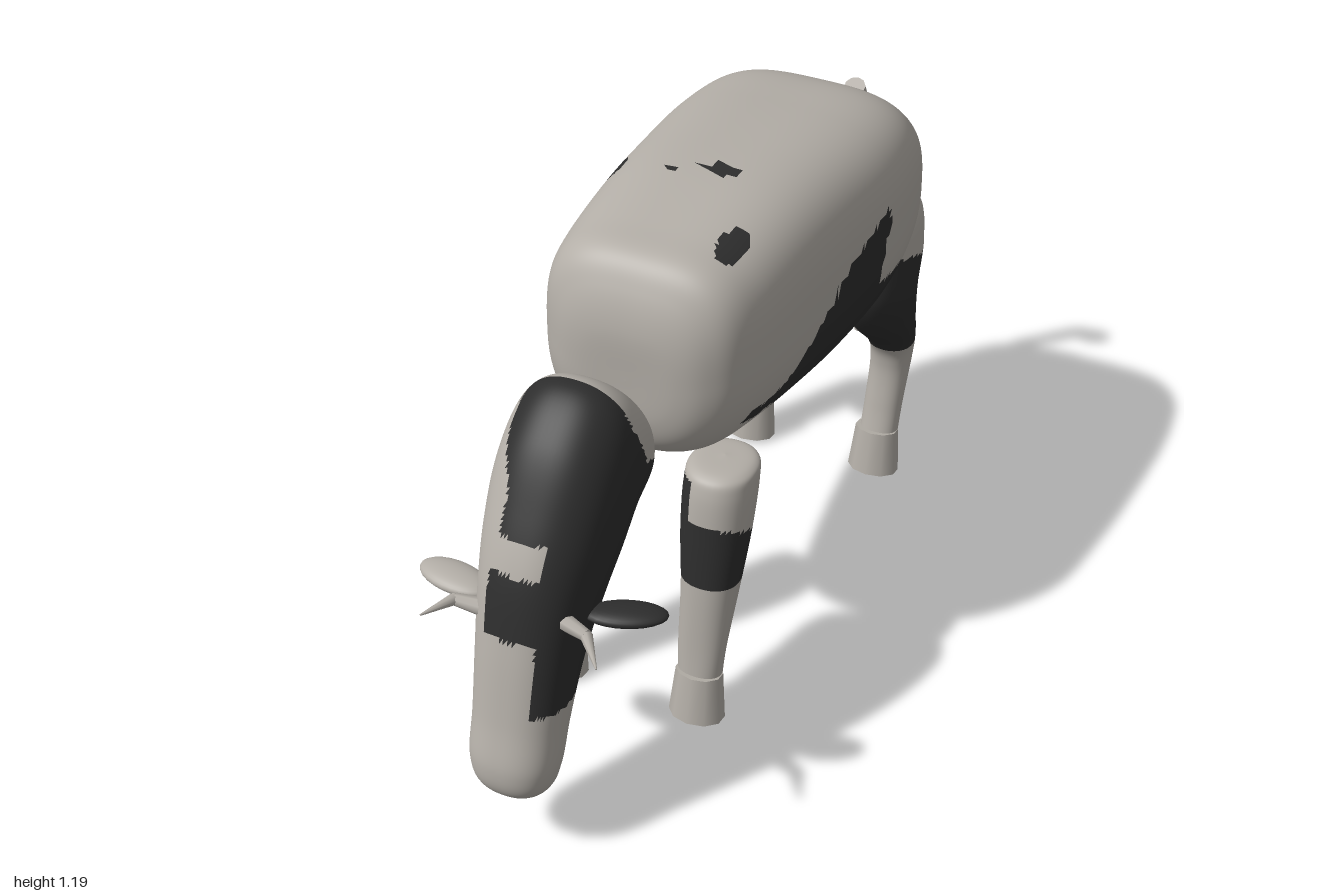
import * as THREE from 'three';

const light = new THREE.MeshStandardMaterial({ color: 0xb3aea7 });
light.name = 'pale hide';
const dark = new THREE.MeshStandardMaterial({ color: 0x2d2d2d });
dark.name = 'dark patches';

const spow = (v, n) => Math.sign(v) * Math.pow(Math.abs(v), 2 / n);

// point-in-polygon test for patch outlines
function inside(poly, u, v) {
  let hit = false;
  for (let i = 0, j = poly.length - 1; i < poly.length; j = i++) {
    const [a, b] = poly[i], [c, d] = poly[j];
    if ((b > v) !== (d > v) && u < ((c - a) * (v - b)) / (d - b) + a) hit = !hit;
  }
  return hit;
}

// Smooth skin through sections [zA, yA, zB, yB, centreX, halfWidth];
// isDark(x, y, z) sorts the faces into the two hide colours.
function loft(name, sections, nU, nV, nA, nB, isDark) {
  const ca = new THREE.CatmullRomCurve3(sections.map((s) => new THREE.Vector3(s[5], s[1], s[0])), false, 'catmullrom', 0.5);
  const cb = new THREE.CatmullRomCurve3(sections.map((s) => new THREE.Vector3(s[4], s[3], s[2])), false, 'catmullrom', 0.5);
  const pos = [];
  for (let i = 0; i <= nU; i++) {
    const a = ca.getPoint(i / nU), b = cb.getPoint(i / nU), w = Math.max(a.x, 0);
    for (let j = 0; j < nV; j++) {
      const t = (j / nV) * Math.PI * 2, c = Math.cos(t), n = c > 0 ? nB : nA, k = spow(c, n) / 2;
      pos.push(b.x + w * spow(Math.sin(t), n), (a.y + b.y) / 2 + (b.y - a.y) * k, (a.z + b.z) / 2 + (b.z - a.z) * k);
    }
  }
  const P = (i) => new THREE.Vector3().fromArray(pos, i * 3);
  const faces = [[], []];
  let volume = 0;
  const add = (a, b, c) => {
    const A = P(a), B = P(b), C = P(c);
    volume += A.dot(B.clone().cross(C));
    const m = A.add(B).add(C).divideScalar(3);
    faces[isDark(m.x, m.y, m.z) ? 1 : 0].push([a, b, c]);
  };
  for (let i = 0; i < nU; i++) for (let j = 0; j < nV; j++) {
    const a = i * nV + j, b = i * nV + ((j + 1) % nV);
    add(a, b, a + nV);
    add(b, b + nV, a + nV);
  }
  if (volume < 0) faces.forEach((list) => list.forEach((f) => f.reverse()));
  const geo = new THREE.BufferGeometry();
  geo.setAttribute('position', new THREE.Float32BufferAttribute(pos, 3));
  geo.setIndex(faces.flat(2));
  geo.addGroup(0, faces[0].length * 3, 0);
  geo.addGroup(faces[0].length * 3, faces[1].length * 3, 1);
  geo.computeVertexNormals();
  const mesh = new THREE.Mesh(geo, [light, dark]);
  mesh.name = name;
  return mesh;
}

// Tapered rod between two points
function rod(name, a, b, ra, rb, mat, sides = 10) {
  const A = new THREE.Vector3(...a), B = new THREE.Vector3(...b), d = B.clone().sub(A);
  const mesh = new THREE.Mesh(new THREE.CylinderGeometry(rb, ra, d.length(), sides), mat);
  mesh.position.copy(A).add(B).multiplyScalar(0.5);
  mesh.quaternion.setFromUnitVectors(new THREE.Vector3(0, 1, 0), d.normalize());
  mesh.name = name;
  return mesh;
}

function ball(name, p, s, mat) {
  const mesh = new THREE.Mesh(new THREE.SphereGeometry(1, 24, 16), mat);
  mesh.position.set(...p);
  mesh.scale.set(...s);
  mesh.name = name;
  return mesh;
}

// Patch outlines on the flanks as [z, y]
const leftFlank = [[-0.35, 1.0], [-0.26, 0.98], [-0.15, 0.95], [-0.07, 0.9], [0.04, 0.84], [0.12, 0.79], [0.2, 0.78],
  [0.25, 0.79], [0.27, 0.765], [0.21, 0.745], [0.14, 0.74], [0.1, 0.685], [0.06, 0.64], [-0.02, 0.6], [-0.2, 0.55],
  [-0.42, 0.55], [-0.46, 0.65], [-0.48, 0.79], [-0.31, 0.81], [-0.33, 0.91], [-0.365, 0.95]];
const rightFlank = [[-0.32, 0.55], [-0.3, 0.63], [-0.2, 0.66], [-0.05, 0.68], [0, 0.76], [0.1, 0.77], [0.17, 0.73],
  [0.1, 0.66], [0.03, 0.55]];
// Small spots on the back as [x, z, radiusX, radiusZ]
const spots = [[-0.25, -0.035, 0.035, 0.05], [0.025, -0.04, 0.045, 0.022], [-0.08, 0.0, 0.015, 0.01], [0.157, 0.185, 0.03, 0.058]];

function bodyDark(x, y, z) {
  if (y > 1.02 && spots.some(([a, b, r, s]) => ((x - a) / r) ** 2 + ((z - b) / s) ** 2 < 1)) return true;
  if (x > 0.1 && inside(leftFlank, z, y)) return true;
  if (x < -0.08 && inside(rightFlank, z, y)) return true;
  return x > 0.14 && x < 0.22 && z < -0.69 && y > 0.73 && y < 0.79;
}

// Edge between the pale nape and the dark face as [z, y]
const nape = [[0.3, 1.1], [0.6, 1.1], [0.595, 0.93], [0.56, 0.83], [0.46, 0.77], [0.45, 0.6], [0.3, 0.6]];

function headDark(x, y, z) {
  if (inside(nape, z, y)) return false;
  const axis = 0.88 - 0.5 * (y - 0.4);
  if (z < axis - 0.03 && x < 0) return x > -0.09 && y > 0.4 && y < 0.57;
  if (x > 0.1 || z < axis) return y > 0.39 && x > 0 && !(z > 0.85 && y < 0.55 && y > 0.47 && x < 0.1);
  if (y > 0.77) return x > -0.055 - 0.05 * THREE.MathUtils.smoothstep(y, 0.84, 0.95);
  if (y > 0.7) return x > 0.055;
  if (y > 0.56) return x > -0.065;
  return y > 0.39 && x > 0.06;
}

function frontLegDark(x, y, z) {
  return x > 0 && y > 0.385 && (y < 0.49 + (z - 0.25) * 0.4 || (x < 0.15 && y < 0.64));
}

function hindLegDark(x, y, z) {
  if (y < 0.385) return false;
  if (x > 0) return y < 0.77 + (z + 0.47) * 0.33;
  return y < 0.5 - (z + 0.65) * 0.4 + (x + 0.19) * 1.2;
}

export function createModel() {
  const cow = new THREE.Group();
  cow.name = 'grazingCow';

  // Barrel of the body, from chest to rump
  cow.add(loft('body', [
    [0.385, 0.88, 0.385, 0.88, 0, 0], [0.385, 0.77, 0.38, 1.0, 0, 0.12], [0.36, 0.7, 0.35, 1.09, 0, 0.19],
    [0.3, 0.655, 0.3, 1.15, 0, 0.238], [0.2, 0.635, 0.2, 1.168, 0, 0.265], [0, 0.6, 0, 1.19, 0, 0.285],
    [-0.2, 0.58, -0.2, 1.19, 0, 0.3], [-0.4, 0.59, -0.4, 1.178, 0, 0.31], [-0.55, 0.62, -0.57, 1.155, 0, 0.295],
    [-0.68, 0.67, -0.67, 1.1, 0, 0.26], [-0.745, 0.735, -0.735, 1.01, 0, 0.22], [-0.765, 0.8, -0.763, 0.94, 0, 0.14],
    [-0.767, 0.87, -0.767, 0.87, 0, 0]], 150, 128, 2.3, 3.2, bodyDark));

  // Lowered head and neck
  cow.add(loft('head', [
    [0.445, 0.8, 0.445, 0.8, 0, 0], [0.44, 0.735, 0.465, 0.87, 0, 0.085], [0.48, 0.685, 0.53, 0.98, 0, 0.13],
    [0.575, 0.64, 0.625, 1.02, 0, 0.146], [0.63, 0.585, 0.735, 0.945, 0, 0.147], [0.68, 0.53, 0.82, 0.82, 0, 0.138],
    [0.72, 0.46, 0.885, 0.69, 0, 0.124], [0.76, 0.39, 0.93, 0.53, 0, 0.113], [0.8, 0.31, 0.968, 0.36, 0, 0.105],
    [0.835, 0.22, 0.997, 0.25, 0, 0.1], [0.86, 0.165, 0.985, 0.18, 0, 0.075], [0.925, 0.146, 0.925, 0.146, 0, 0]],
  120, 96, 2.3, 2.3, headDark));

  // Legs and hooves, mirrored
  for (const s of [1, -1]) {
    const side = s > 0 ? 'left' : 'right';
    const place = (rows) => rows.map((r) => [r[0], r[1], r[2], r[3], r[4] * s, r[5]]);
    cow.add(loft(side + 'FrontLeg', place([
      [0.27, 0.668, 0.27, 0.668, 0.185, 0], [0.2, 0.66, 0.35, 0.66, 0.185, 0.07], [0.205, 0.62, 0.378, 0.62, 0.187, 0.082],
      [0.245, 0.5, 0.393, 0.5, 0.187, 0.08], [0.285, 0.36, 0.405, 0.36, 0.186, 0.068], [0.335, 0.2, 0.415, 0.2, 0.18, 0.058],
      [0.345, 0.1, 0.425, 0.1, 0.178, 0.052]]), 70, 40, 2.2, 2.2, frontLegDark));
    cow.add(loft(side + 'HindLeg', place([
      [-0.59, 0.9, -0.59, 0.9, 0.2, 0], [-0.72, 0.84, -0.47, 0.84, 0.2, 0.07], [-0.73, 0.74, -0.458, 0.74, 0.2, 0.09],
      [-0.69, 0.63, -0.46, 0.63, 0.2, 0.092], [-0.72, 0.52, -0.52, 0.52, 0.198, 0.078], [-0.768, 0.4, -0.64, 0.4, 0.193, 0.06],
      [-0.765, 0.32, -0.67, 0.32, 0.19, 0.053], [-0.735, 0.2, -0.655, 0.2, 0.185, 0.05],
      [-0.71, 0.1, -0.63, 0.1, 0.183, 0.05]]), 90, 40, 2.2, 2.2, hindLegDark));
    for (const [z, end] of [[0.398, 'Front'], [-0.661, 'Hind']]) {
      const hoof = new THREE.Mesh(new THREE.CylinderGeometry(0.057, 0.068, 0.12, 10), light);
      hoof.scale.z = 0.8;
      hoof.position.set(0.18 * s, 0.067, z);
      hoof.rotation.x = -0.12;
      hoof.name = side + end + 'Hoof';
      cow.add(hoof);
    }
  }

  // Ears
  const leftEar = ball('leftEar', [0.19, 0.58, 0.755], [0.09, 0.018, 0.042], dark);
  leftEar.rotation.y = 0.4;
  const rightEar = ball('rightEar', [-0.195, 0.577, 0.805], [0.09, 0.02, 0.046], light);
  rightEar.rotation.y = -0.15;
  cow.add(leftEar, rightEar);

  // Horns, each bent forward
  const horns = [['leftHorn', [0.08, 0.605, 0.85], [0.155, 0.595, 0.865], [0.21, 0.572, 0.925]],
    ['rightHorn', [-0.08, 0.58, 0.865], [-0.15, 0.59, 0.88], [-0.177, 0.605, 0.97]]];
  for (const [name, a, b, c] of horns) {
    cow.add(rod(name + 'Base', a, b, 0.022, 0.014, light, 8), rod(name + 'Tip', b, c, 0.014, 0.002, light, 8));
  }

  // Udder and teats
  cow.add(ball('udder', [0, 0.54, -0.44], [0.1, 0.085, 0.1], light));
  for (const x of [-0.04, 0.04]) for (const z of [-0.42, -0.5]) {
    cow.add(rod('teat', [x, 0.5, z], [x, 0.415, z], 0.016, 0.011, light, 8));
  }

  // Tail with its tuft
  cow.add(rod('tailRoot', [0, 1.0, -0.857], [0, 0.875, -0.935], 0.028, 0.025, light));
  cow.add(rod('tailUpper', [0, 0.885, -0.933], [0, 0.64, -0.967], 0.024, 0.021, dark));
  cow.add(rod('tailLower', [0, 0.645, -0.967], [0, 0.38, -0.957], 0.021, 0.016, dark));
  cow.add(rod('tuftTop', [0, 0.385, -0.957], [0, 0.34, -0.957], 0.017, 0.037, light, 8));
  cow.add(rod('tuft', [0, 0.34, -0.957], [0, 0.205, -0.968], 0.037, 0.015, light, 8));

  return cow;
}
